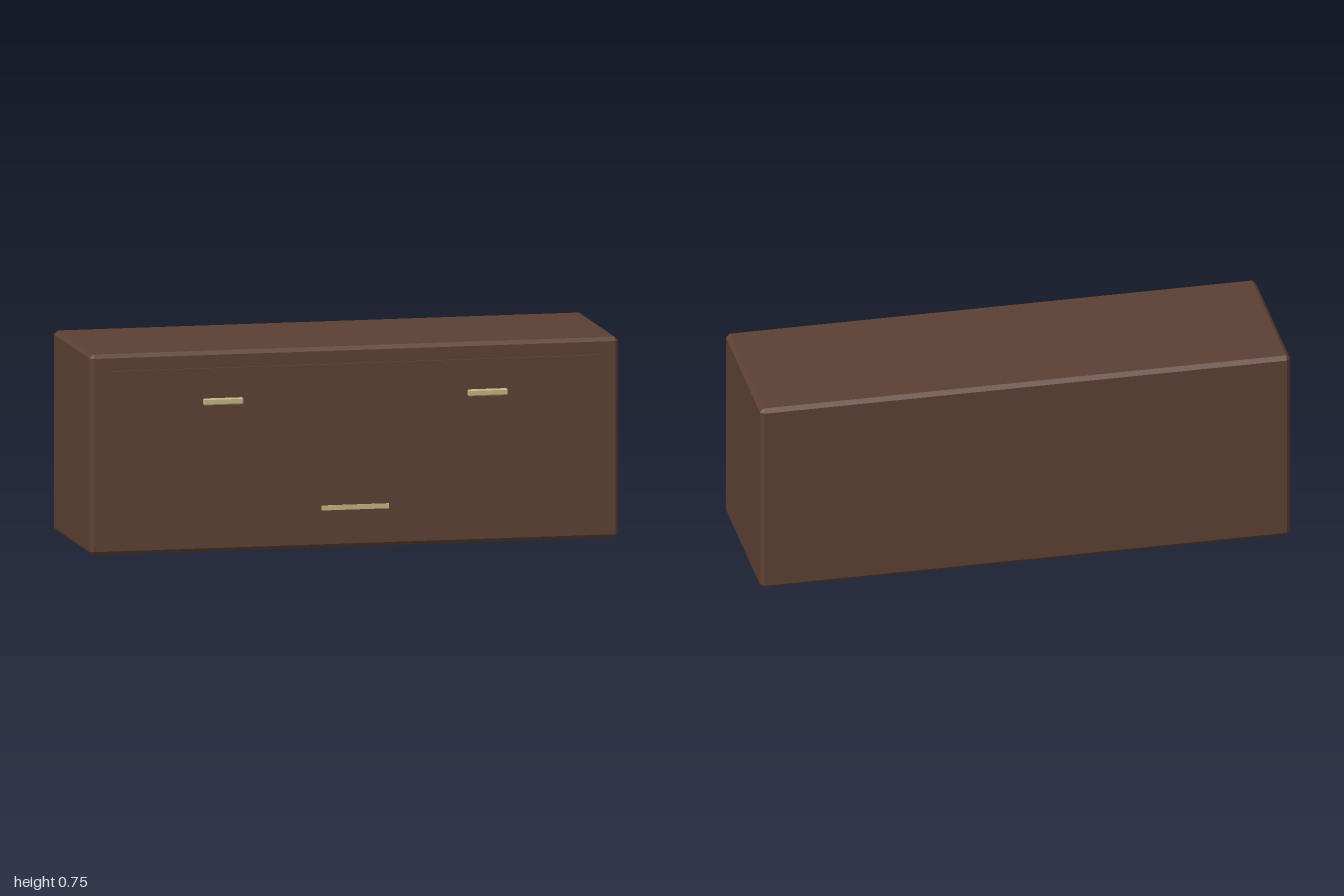
import * as THREE from 'three';
import { ConvexGeometry } from 'three/addons/geometries/ConvexGeometry.js';

// Box with flat chamfers on every edge, centred on the origin
function chamferedBox(w, h, d, c) {
  const points = [];
  for (const sx of [-1, 1]) for (const sy of [-1, 1]) for (const sz of [-1, 1]) {
    const x = w / 2, y = h / 2, z = d / 2;
    points.push(
      new THREE.Vector3(sx * x, sy * (y - c), sz * (z - c)),
      new THREE.Vector3(sx * (x - c), sy * y, sz * (z - c)),
      new THREE.Vector3(sx * (x - c), sy * (y - c), sz * z)
    );
  }
  return new ConvexGeometry(points);
}

export function createModel() {
  const group = new THREE.Group();
  group.name = 'cabinet';

  const wood = new THREE.MeshStandardMaterial({ color: 0x5c4033 });
  wood.name = 'darkWood';
  const brass = new THREE.MeshStandardMaterial({ color: 0xc2b280 });
  brass.name = 'paleBrass';

  const add = (name, geometry, material, x, y, z) => {
    const mesh = new THREE.Mesh(geometry, material);
    mesh.name = name;
    mesh.position.set(x, y, z);
    group.add(mesh);
  };

  // Carcass with chamfered edges
  add('body', chamferedBox(2, 0.75, 0.625, 0.0145), wood, 0, 0.375, -0.0125);

  // Raised front panel
  add('frontPanel', new THREE.BoxGeometry(1.875, 0.625, 0.02), wood, 0, 0.375, 0.3);

  // Two bar handles near the top
  const handle = chamferedBox(0.15, 0.0245, 0.02, 0.004);
  add('leftHandle', handle, brass, 0.5, 0.5635, 0.315);
  add('rightHandle', handle, brass, -0.5, 0.5635, 0.315);

  // Thin plate at the bottom centre
  add('lowerPlate', new THREE.BoxGeometry(0.255, 0.0185, 0.0085), brass, 0, 0.152, 0.3093);

  return group;
}
